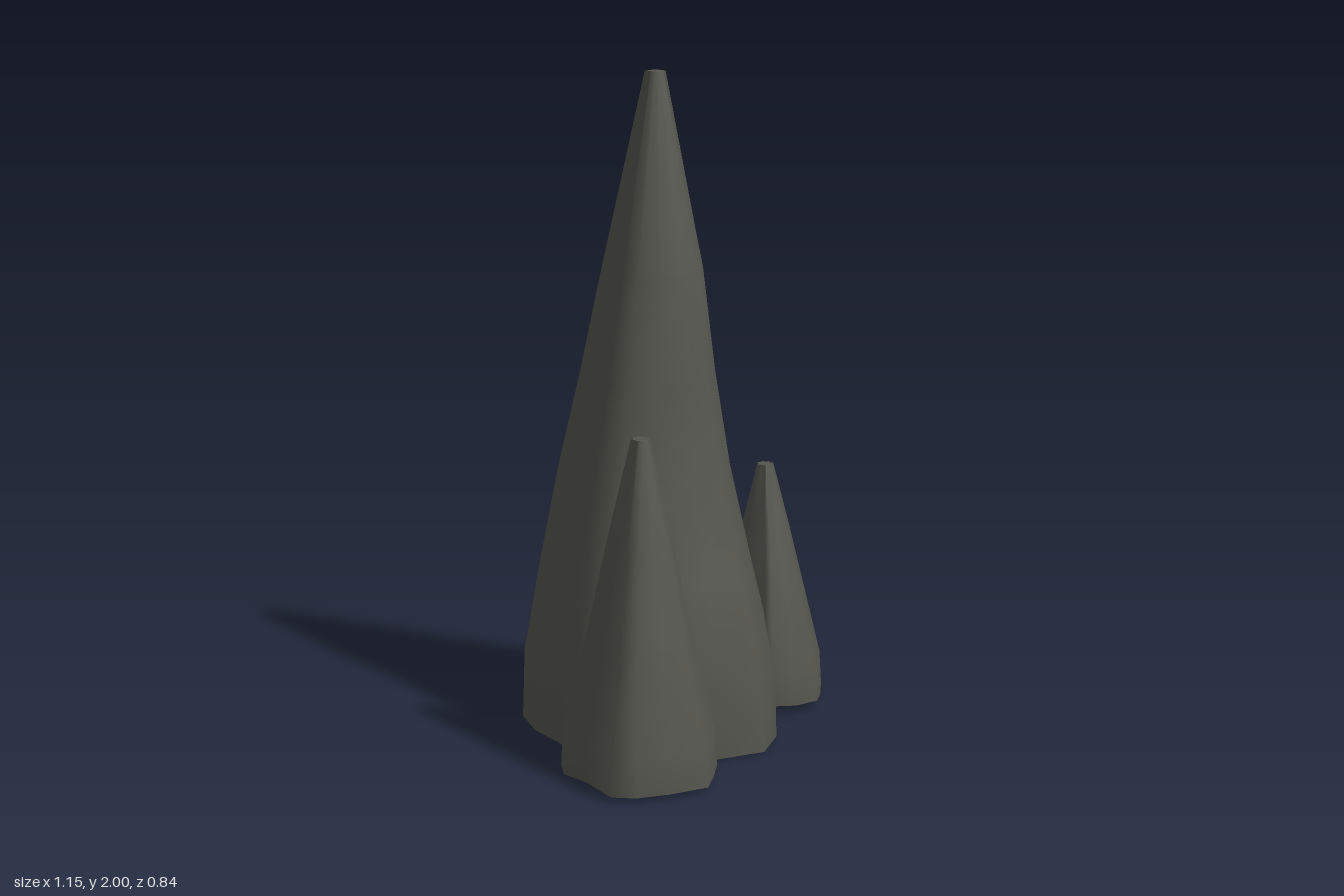
import * as THREE from 'three';

// Builds an irregular tapering spire: a ground outline [x, z] shrinks around an axis.
// levels: [height, outline scale, z drift]; the last level is a small round tip.
function spire(name, material, axis, outline, levels, top, tipRadius) {
  const n = outline.length;
  const [cx, cz] = axis;
  const rings = levels.map(([y, s, dz = 0]) =>
    outline.map(([x, z]) => [cx + (x - cx) * s, y, cz + (z - cz) * s + dz]));
  rings.push(outline.map(([x, z], i) => {
    const d = Math.hypot(x - cx, z - cz);
    const r = tipRadius * (i % 2 ? 0.8 : 1.08);
    return [cx + (x - cx) / d * r, top, cz + (z - cz) / d * r];
  }));

  const group = new THREE.Group();
  group.name = name;
  const add = (part, points, index) => {
    const g = new THREE.BufferGeometry();
    g.setAttribute('position', new THREE.Float32BufferAttribute(points.flat(), 3));
    g.setIndex(index);
    g.computeVertexNormals();
    const mesh = new THREE.Mesh(g, material);
    mesh.name = part;
    group.add(mesh);
  };

  // Smooth sloping wall
  const wall = [];
  for (let j = 0; j < rings.length - 1; j++) {
    for (let i = 0; i < n; i++) {
      const k = (i + 1) % n;
      const a = j * n + i, b = j * n + k;
      wall.push(a, b, b + n, a, b + n, a + n);
    }
  }
  add('wall', rings.flat(), wall);

  // Flat caps at the foot and the tip
  const cap = (part, ring, up) => {
    const index = [];
    for (let i = 0; i < n; i++) {
      const k = (i + 1) % n;
      if (up) index.push(n, i, k);
      else index.push(n, k, i);
    }
    add(part, [...ring, [cx, ring[0][1], cz]], index);
  };
  cap('foot', rings[0], false);
  cap('tip', rings[rings.length - 1], true);
  return group;
}

export function createModel() {
  const stone = new THREE.MeshStandardMaterial({ color: 0x55554e });
  stone.name = 'dark stone';
  const model = new THREE.Group();
  model.name = 'stalagmites';

  // Tall central spire
  model.add(spire('tallSpire', stone, [-0.01, -0.055], [
    [-0.01, 0.365], [0.11, 0.32], [0.19, 0.225], [0.29, 0.17], [0.38, 0.05],
    [0.36, -0.07], [0.33, -0.16], [0.3, -0.28], [0.23, -0.385], [0.11, -0.42],
    [-0.01, -0.4], [-0.13, -0.415], [-0.255, -0.39], [-0.32, -0.28], [-0.345, -0.16],
    [-0.4, -0.05], [-0.38, 0.08], [-0.27, 0.2], [-0.14, 0.295],
  ], [[0, 1], [0.22, 0.98], [0.5, 0.83, -0.015], [0.8, 0.67, -0.025], [1.1, 0.52, -0.015], [1.42, 0.385]],
  2, 0.028));

  // Medium spire on the right-hand side
  model.add(spire('mediumSpire', stone, [-0.355, 0.175], [
    [-0.35, 0.42], [-0.28, 0.385], [-0.2, 0.335], [-0.145, 0.28], [-0.16, 0.18],
    [-0.2, 0.09], [-0.24, 0.01], [-0.32, -0.04], [-0.4, -0.045], [-0.49, -0.02],
    [-0.54, 0.035], [-0.545, 0.13], [-0.58, 0.25], [-0.54, 0.31], [-0.46, 0.365],
  ], [[0.015, 1], [0.13, 0.975], [0.42, 0.67], [0.7, 0.42]], 1.01, 0.026));

  // Small spire on the left-hand side
  model.add(spire('smallSpire', stone, [0.372, 0.068], [
    [0.375, 0.28], [0.435, 0.25], [0.52, 0.19], [0.575, 0.135], [0.545, 0.04],
    [0.545, -0.055], [0.5, -0.11], [0.43, -0.125], [0.35, -0.115], [0.27, -0.07],
    [0.23, 0.02], [0.24, 0.1], [0.225, 0.19], [0.25, 0.205], [0.3, 0.255],
  ], [[0.025, 1], [0.13, 0.965], [0.4, 0.62], [0.57, 0.4]], 0.76, 0.025));

  return model;
}
